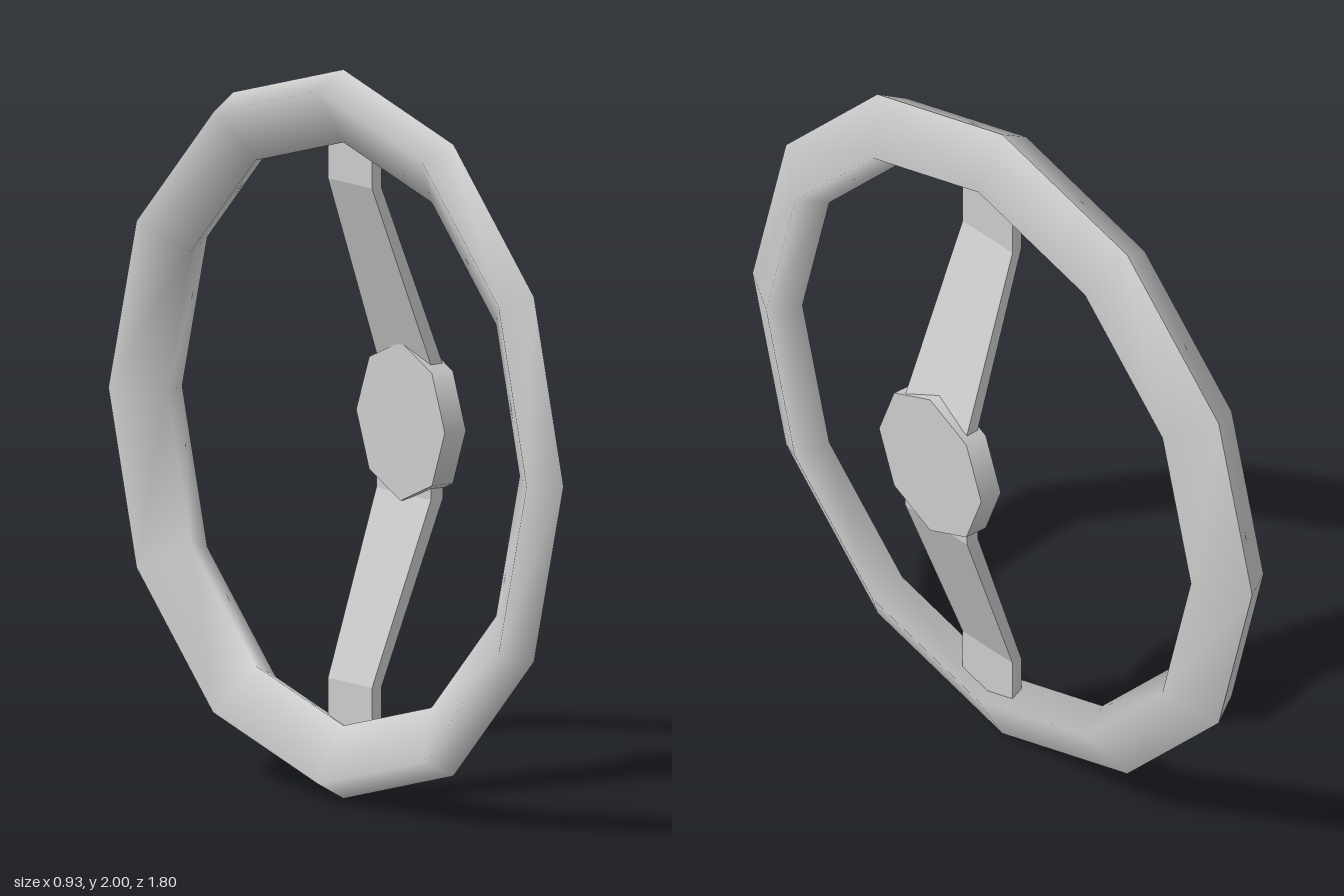
import * as THREE from 'three';

export function createModel() {
  const grey = new THREE.MeshStandardMaterial({ color: 0xcccccc });
  grey.name = 'lightGrey';

  const model = new THREE.Group();
  model.name = 'steeringWheel';
  const add = (name, geometry) => {
    const mesh = new THREE.Mesh(geometry, grey);
    mesh.name = name;
    model.add(mesh);
    return mesh;
  };

  // Rim: slanted rectangular section swept in twelve smooth segments
  const section = [[1, 0.018], [0.85, 0.105], [0.8, 0.018], [0.95, -0.069], [1, 0.018]]
    .map(([r, h]) => new THREE.Vector2(r, h));
  add('rim', new THREE.LatheGeometry(section, 12).rotateX(Math.PI / 2));

  // Spokes: one bent strip, narrow at the rim and raised at the hub
  // rows: height, half width, back depth, front depth
  const rows = [
    [0.84, 0.1, 0.04, 0.072],
    [0.685, 0.1, 0.04, 0.072],
    [0.185, 0.124, 0.22, 0.26],
  ];
  const strip = [...rows, ...rows.map(([y, ...rest]) => [-y, ...rest]).reverse()];
  const box = new THREE.BoxGeometry(1, 1, 1, 1, strip.length - 1, 1);
  const p = box.attributes.position;
  for (let i = 0; i < p.count; i++) {
    const row = Math.round((0.5 - p.getY(i)) * (strip.length - 1));
    const [y, half, back, front] = strip[row];
    p.setXYZ(i, Math.sign(p.getX(i)) * half, y, p.getZ(i) > 0 ? front : back);
  }
  const spokes = box.toNonIndexed();
  spokes.computeVertexNormals();
  add('spokes', spokes);

  // Hub: slightly tilted octagonal disc
  const hub = add('hub', new THREE.CylinderGeometry(0.218, 0.218, 0.068, 8).rotateX(Math.PI / 2));
  hub.position.set(-0.008, 0.016, 0.239);
  hub.rotation.y = -0.055;

  // Stand the wheel upright and turn it about the vertical
  model.rotation.y = 2.017;
  model.position.y = 1;
  const group = new THREE.Group();
  group.name = 'wheelAssembly';
  group.add(model);
  return group;
}
